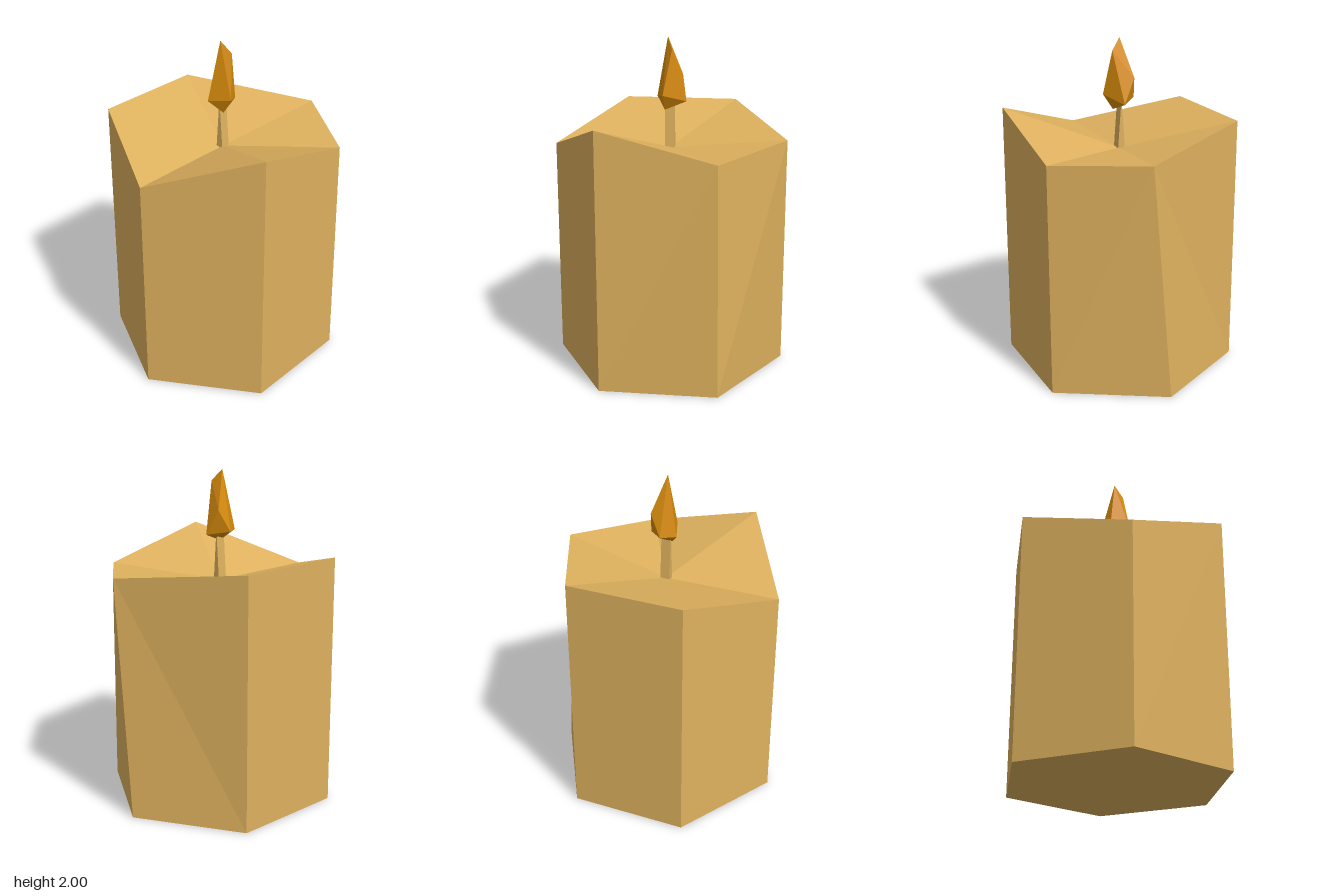
import * as THREE from 'three';
import { ConvexGeometry } from 'three/addons/geometries/ConvexGeometry.js';

const wax = new THREE.MeshStandardMaterial({ color: 0xdeb15e, flatShading: true });
wax.name = 'wax tan';
const fire = new THREE.MeshStandardMaterial({ color: 0xd98c0c, flatShading: true });
fire.name = 'flame orange';

const v = (x, y, z) => new THREE.Vector3(x, y, z);

// Hexagonal block with an uneven, dished top
function candleGeometry() {
  const top = [
    v(0, 1.34, 0.7), v(0.606, 1.57, 0.35), v(0.606, 1.395, -0.335),
    v(0.13, 1.43, -0.7), v(-0.606, 1.515, -0.35), v(-0.606, 1.515, 0.35),
  ];
  const bottom = top.map((_, i) => {
    const a = (i * Math.PI) / 3;
    return v(0.7 * Math.sin(a), 0, 0.7 * Math.cos(a));
  });
  const topCentre = v(0, 1.337, 0);
  const bottomCentre = v(0, 0, 0);
  const points = [];
  for (let i = 0; i < 6; i++) {
    const j = (i + 1) % 6;
    const [bi, bj, ti, tj] = [bottom[i], bottom[j], top[i], top[j]];
    // the side after the shifted back corner folds along its other diagonal
    if (i === 3) points.push(bi, bj, ti, ti, bj, tj);
    else points.push(bi, bj, tj, bi, tj, ti);
    points.push(topCentre, ti, tj, bottomCentre, bj, bi);
  }
  const g = new THREE.BufferGeometry().setFromPoints(points);
  g.computeVertexNormals();
  return g;
}

// Wedge that narrows in x toward the flame
function wickGeometry() {
  const g = new THREE.BoxGeometry(0.046, 0.27, 0.058).toNonIndexed();
  const p = g.attributes.position;
  for (let i = 0; i < p.count; i++) if (p.getY(i) > 0) p.setX(i, p.getX(i) * 0.15);
  g.translate(-0.002, 1.465, 0.002);
  g.computeVertexNormals();
  return g;
}

// Faceted flame
function flameGeometry() {
  return new ConvexGeometry([
    v(-0.008, 2, 0.015), v(0.052, 1.93, -0.015), v(0.09, 1.665, 0.035),
    v(-0.045, 1.64, 0.083), v(-0.095, 1.64, 0), v(-0.065, 1.77, -0.068),
    v(0.01, 1.62, -0.097), v(0.028, 1.57, 0.03),
  ]);
}

export function createModel() {
  const group = new THREE.Group();
  group.name = 'candle';
  const add = (name, geometry, material) => {
    const mesh = new THREE.Mesh(geometry, material);
    mesh.name = name;
    group.add(mesh);
  };
  add('waxBody', candleGeometry(), wax);
  add('wick', wickGeometry(), wax);
  add('flame', flameGeometry(), fire);
  return group;
}
